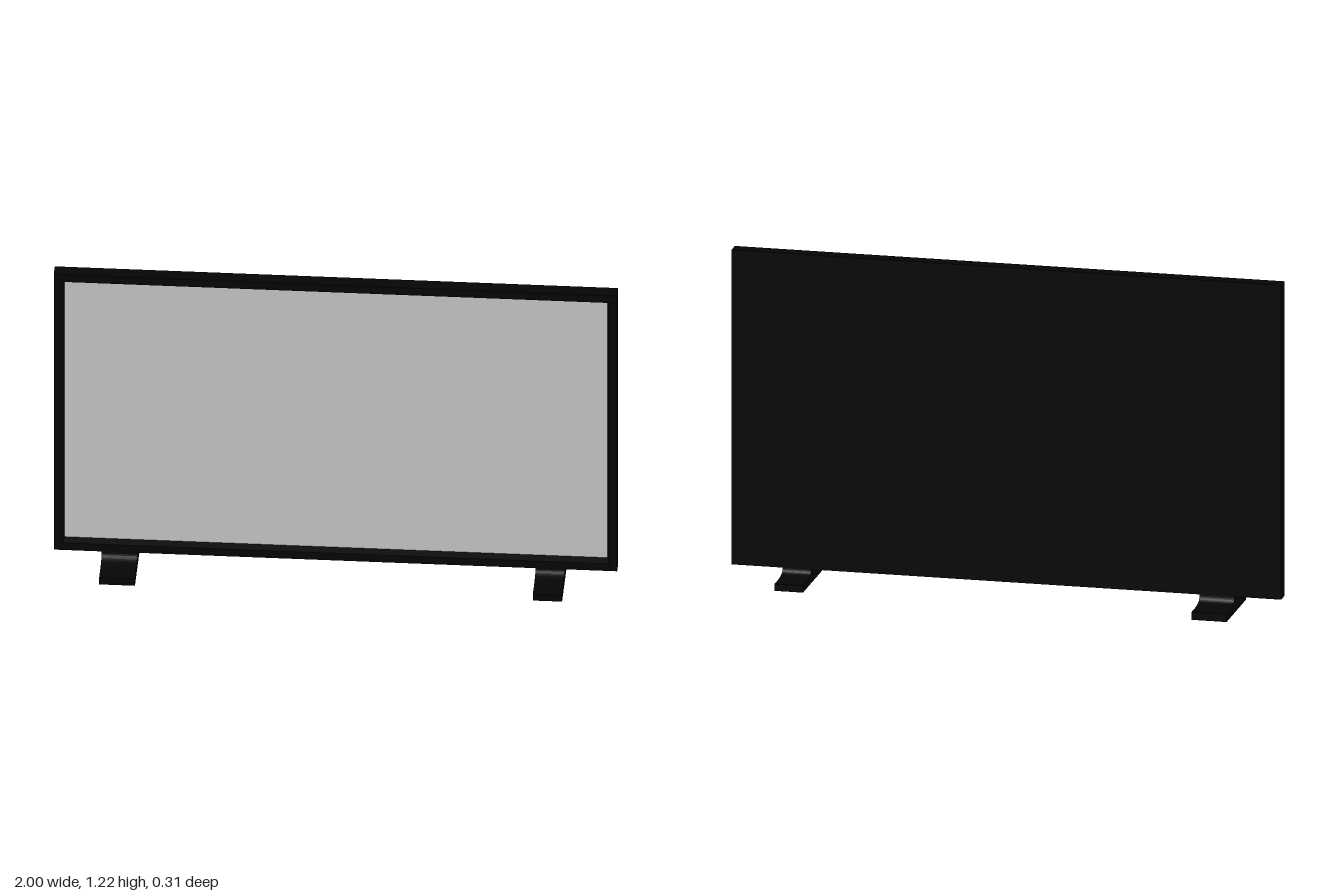
import * as THREE from 'three';

const black = new THREE.MeshStandardMaterial({ color: 0x050505 });
const grey = new THREE.MeshStandardMaterial({ color: 0xcccccc });

const BOTTOM = 0.06, TOP = 1.217;
const FRONT = 0.024, BACK = -0.029, SCREEN = -0.004;

function add(group, name, geometry, material) {
  const mesh = new THREE.Mesh(geometry, material);
  mesh.name = name;
  group.add(mesh);
  return mesh;
}

// Flat-faced skin through rectangular loops, each { x: half width, y0, y1, z }
function loopSkin(loops) {
  const corners = loops.map(({ x, y0, y1, z }) => [[-x, y0, z], [x, y0, z], [x, y1, z], [-x, y1, z]]);
  const points = [];
  for (let k = 0; k < corners.length - 1; k++) {
    const a = corners[k], b = corners[k + 1];
    for (let i = 0; i < 4; i++) {
      const j = (i + 1) % 4;
      points.push(...a[i], ...a[j], ...b[j], ...a[i], ...b[j], ...b[i]);
    }
  }
  const g = new THREE.BufferGeometry();
  g.setAttribute('position', new THREE.Float32BufferAttribute(points, 3));
  g.computeVertexNormals();
  return g;
}

// Flat panel filling one loop
function panel({ x, y0, y1, z }, facing) {
  const g = new THREE.PlaneGeometry(2 * x, y1 - y0);
  if (facing < 0) g.rotateY(Math.PI);
  return g.translate(0, (y0 + y1) / 2, z);
}

// Flat foot with a flared neck: side profile in (z, y), extruded along x
function footGeometry(x0, x1, y0, yTop, zBack, zFront) {
  const s = new THREE.Shape();
  s.moveTo(zBack, y0);
  s.lineTo(zFront, y0);
  s.lineTo(zFront, yTop);
  s.lineTo(0.1, yTop);
  s.bezierCurveTo(0.05, yTop + 0.003, FRONT, yTop + 0.005, FRONT, BOTTOM);
  s.lineTo(BACK, BOTTOM);
  s.bezierCurveTo(BACK, yTop + 0.005, -0.05, yTop + 0.003, -0.1, yTop);
  s.lineTo(zBack, yTop);
  s.closePath();
  const g = new THREE.ExtrudeGeometry(s, { depth: x1 - x0, bevelEnabled: false, curveSegments: 10 });
  return g.rotateY(-Math.PI / 2).translate(x1, 0, 0);
}

export function createModel() {
  const model = new THREE.Group();
  model.name = 'television';

  // Casing: outer sides, bezel face, then a sloped rim down to the screen
  const rear = { x: 1, y0: BOTTOM, y1: TOP, z: BACK };
  const front = { ...rear, z: FRONT };
  const rim = { x: 0.971, y0: 0.09, y1: 1.187, z: FRONT };
  const recess = { x: 0.963, y0: 0.098, y1: 1.179, z: SCREEN };
  add(model, 'casing', loopSkin([rear, front, rim, recess]), black);
  add(model, 'backPanel', panel(rear, -1), black);
  add(model, 'screen', panel(recess, 1), grey);

  // The two feet differ a little in width and height
  add(model, 'rightFoot', footGeometry(-0.83, -0.703, 0, 0.029, -0.15, 0.147), black);
  add(model, 'leftFoot', footGeometry(0.71, 0.814, 0.009, 0.034, -0.154, 0.157), black);

  return model;
}
